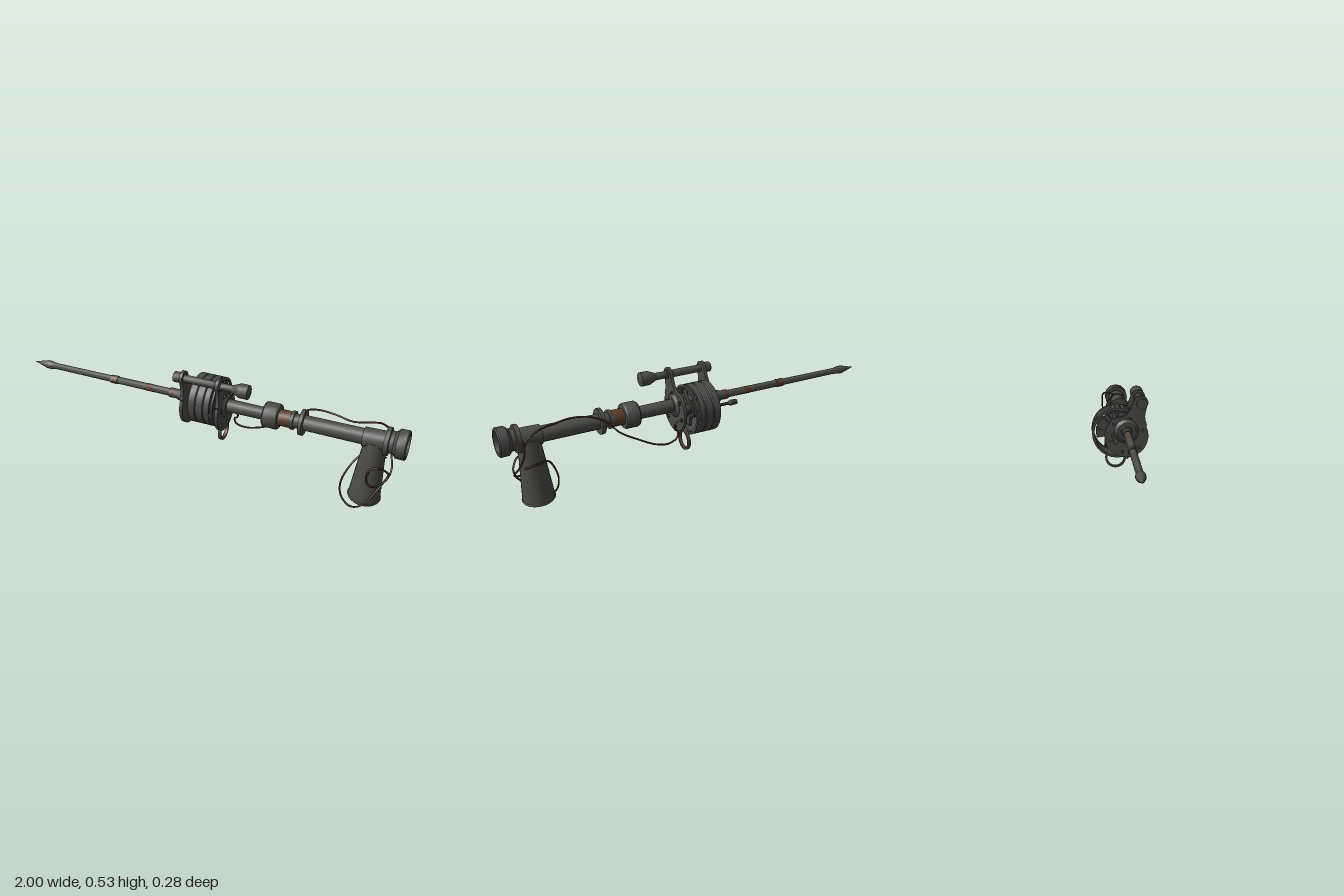
import * as THREE from 'three';
import { toCreasedNormals } from 'three/addons/utils/BufferGeometryUtils.js';

const AY = 0.36, AZ = 0.03;      // main axis
const DY = 0.344, DZ = -0.013;   // drum axis

export function createModel() {
  const model = new THREE.Group();
  model.name = 'harpoonLauncher';
  const mat = (name, color) => {
    const m = new THREE.MeshStandardMaterial({ color, side: THREE.DoubleSide });
    m.name = name;
    return m;
  };
  const steel = mat('gunmetal', 0x4b4c49);
  const dark = mat('darkSteel', 0x3a3b38);
  const rust = mat('rust', 0x5c3c26);
  const cordMat = mat('rustyCord', 0x47301f);

  const add = (name, geo, material = steel) => {
    const mesh = new THREE.Mesh(geo, material);
    mesh.name = name;
    model.add(mesh);
    return mesh;
  };
  // turned part along x: profile of [x, radius]
  const turned = (name, profile, y = AY, z = AZ, material = steel, sides = 16) => {
    const g = new THREE.LatheGeometry(profile.map(([x, r]) => new THREE.Vector2(r, x)), sides);
    g.rotateZ(-Math.PI / 2);
    g.translate(0, y, z);
    return add(name, toCreasedNormals(g, 0.6), material);
  };
  // flat plate drawn in (z, y), thickness from x0 to x1
  const plate = (name, shape, x0, x1, material = steel) => {
    const g = new THREE.ExtrudeGeometry(shape, { depth: x1 - x0, bevelEnabled: false, curveSegments: 16 });
    g.rotateY(-Math.PI / 2);
    g.translate(x1, 0, 0);
    return add(name, toCreasedNormals(g, 0.5), material);
  };
  const cord = (name, pts, r, material) => {
    const c = new THREE.CatmullRomCurve3(pts.map(p => new THREE.Vector3(...p)));
    return add(name, new THREE.TubeGeometry(c, pts.length * 7, r, 6), material);
  };

  // spear with pointed head
  turned('spear', [[-1, 0], [-0.92, 0.021], [-0.9, 0.022], [-0.86, 0.016], [-0.52, 0.017],
    [-0.52, 0.021], [-0.48, 0.021], [-0.48, 0.018], [-0.18, 0.019], [-0.18, 0.024],
    [-0.13, 0.024], [-0.13, 0.03], [-0.05, 0.03]], AY, AZ, steel, 12);
  turned('spearRustBand', [[-0.515, 0.0215], [-0.485, 0.0215]], AY, AZ, rust, 12);
  turned('spearRustPatch', [[-0.31, 0.0193], [-0.275, 0.0193]], AY, AZ, rust, 12);
  turned('spearGuideRustPatch', [[-0.175, 0.0245], [-0.155, 0.0245]], AY, AZ, rust, 12);

  // reel drum: hollow grooved wall
  turned('drumWall', [[-0.045, 0.113], [-0.045, 0.125], [-0.012, 0.125], [-0.008, 0.121], [-0.004, 0.125],
    [0.03, 0.125], [0.034, 0.121], [0.038, 0.125], [0.065, 0.125], [0.065, 0.113], [-0.045, 0.113]],
  DY, DZ, steel, 28);
  turned('drumRim', [[0.075, 0.113], [0.075, 0.125], [0.085, 0.125], [0.085, 0.113], [0.075, 0.113]],
    DY, DZ, steel, 28);
  turned('drumHub', [[-0.05, 0], [-0.05, 0.045], [0.06, 0.045], [0.06, 0.026], [0.11, 0.026]], DY, DZ, dark);

  // reel vanes: [angle in degrees, outer width]
  const vanes = [[102, 0.03], [80, 0.022], [57, 0.02], [30, 0.055], [-3, 0.04],
    [130, 0.03], [160, 0.03], [190, 0.03], [220, 0.03], [250, 0.03]];
  for (const [deg, w] of vanes) {
    const a = deg * Math.PI / 180, c = Math.cos(a), s = Math.sin(a);
    const at = (r, t) => new THREE.Vector2(DZ - r * c + t * s, DY + r * s + t * c);
    const shape = new THREE.Shape([at(0.035, -w / 3), at(0.103, -w / 2), at(0.103, w / 2), at(0.035, w / 3)]);
    plate('reelVane', shape, -0.035, -0.02);
    plate('reelVane', shape, 0.04, 0.055);
  }

  // teardrop side brackets carrying the sight tube
  const bracket = new THREE.Shape();
  bracket.moveTo(0.025, 0.436);
  bracket.quadraticCurveTo(0.05, 0.46, 0.066, 0.51);
  bracket.absarc(0.1, 0.497, 0.036, 2.8, 0, true);
  bracket.bezierCurveTo(0.115, 0.44, 0.118, 0.42, 0.13, 0.39);
  bracket.absarc(0.03, 0.335, 0.107, 0.45, -Math.PI - 0.9, true);
  bracket.closePath();
  plate('frontBracket', bracket, -0.078, -0.062);
  plate('rearBracket', bracket, 0.108, 0.124);
  turned('frontBearing', [[-0.1, 0], [-0.1, 0.045], [-0.085, 0.06], [-0.062, 0.06]]);
  turned('rearBearing', [[0.09, 0.06], [0.125, 0.06], [0.138, 0.045], [0.138, 0]]);
  for (let i = 0; i < 6; i++) {
    const a = i * Math.PI / 3 + 0.3;
    const y = 0.335 + 0.084 * Math.sin(a), z = AZ + 0.084 * Math.cos(a);
    for (const x of [-0.083, 0.12]) {
      turned('bracketBolt', [[x, 0], [x, 0.01], [x + 0.01, 0.01], [x + 0.01, 0]], y, z, dark, 6);
    }
  }

  // sight tube with cap and flared eyepiece
  turned('sightTube', [[-0.115, 0], [-0.115, 0.026], [-0.08, 0.026], [-0.08, 0.019], [0.1, 0.019],
    [0.1, 0.026], [0.13, 0.026], [0.13, 0.018], [0.185, 0.018], [0.2, 0.024], [0.225, 0.035],
    [0.268, 0.035], [0.272, 0.02], [0.278, 0]], 0.497, 0.103, steel, 12);

  // crank knob in front of the drum
  turned('crankKnob', [[-0.2, 0], [-0.2, 0.013], [-0.165, 0.015], [-0.15, 0.008], [-0.1, 0.008],
    [-0.1, 0.016], [-0.05, 0.016]], 0.335, -0.028, steel, 10);

  // hanging ring under the reel
  turned('hangingRing', [[0.084, 0.043], [0.084, 0.053], [0.1, 0.053], [0.1, 0.043], [0.084, 0.043]],
    0.187, -0.016, steel, 20);
  turned('hangingRingRust', [[0.086, 0.0425], [0.098, 0.0425]], 0.187, -0.016, rust, 20);

  // barrel with collars
  turned('barrel', [[0.12, 0.033], [0.325, 0.031], [0.325, 0.058], [0.332, 0.063], [0.392, 0.063],
    [0.4, 0.058], [0.4, 0.04], [0.46, 0.04], [0.46, 0.046], [0.475, 0.046], [0.475, 0.035],
    [0.505, 0.035], [0.505, 0.063], [0.523, 0.063], [0.523, 0.037], [0.8, 0.038],
    [0.8, 0.046], [0.9, 0.048]]);
  turned('barrelRustBand', [[0.405, 0.0405], [0.455, 0.0405]], AY, AZ, rust);

  // open breech cup
  turned('breechCup', [[0.9, 0.048], [0.9, 0.066], [0.92, 0.066], [0.922, 0.052], [0.94, 0.052],
    [0.955, 0.068], [0.995, 0.069], [1, 0.064], [1, 0.054], [0.965, 0.05], [0.965, 0.043],
    [0.93, 0.041], [0.93, 0.034], [0.89, 0.032], [0.89, 0]], 0.363, AZ, steel, 12);

  // flared grip with slanted base
  const grip = new THREE.CylinderGeometry(0.05, 0.082, 0.31, 20, 6);
  const p = grip.attributes.position;
  for (let i = 0; i < p.count; i++) {
    const t = (0.155 - p.getY(i)) / 0.31;
    const x = p.getX(i);
    p.setXYZ(i, 0.856 - 0.02 * t + x * (1 - 0.08 * t), 0.355 - t * (0.313 + x * 0.1), AZ + p.getZ(i));
  }
  add('grip', toCreasedNormals(grip, 0.7));
  add('gripRim', new THREE.TorusGeometry(0.08, 0.005, 6, 20).rotateX(Math.PI / 2)
    .scale(0.93, 1, 1.02).rotateZ(-0.1).translate(0.836, 0.046, AZ));

  // loose cord from the reel along the barrel
  cord('barrelCord', [[0.135, 0.3, -0.03], [0.155, 0.285, -0.035], [0.158, 0.265, -0.04], [0.14, 0.25, -0.04],
    [0.15, 0.22, -0.045], [0.2, 0.205, -0.055], [0.27, 0.22, -0.06], [0.36, 0.265, -0.055],
    [0.45, 0.32, -0.05], [0.51, 0.385, -0.045], [0.58, 0.415, -0.02], [0.66, 0.42, 0],
    [0.74, 0.408, 0.005], [0.81, 0.407, -0.02], [0.86, 0.4, -0.048], [0.9, 0.375, -0.058]], 0.0045, cordMat);
  // cord wound around the grip
  cord('gripCord', [[0.9, 0.375, -0.058], [0.905, 0.31, -0.056], [0.925, 0.25, -0.035], [0.94, 0.2, 0.01],
    [0.925, 0.165, 0.055], [0.88, 0.145, 0.095], [0.85, 0.175, 0.106], [0.86, 0.235, 0.095],
    [0.9, 0.245, 0.085], [0.935, 0.205, 0.05], [0.93, 0.175, 0.035], [0.9, 0.125, 0.085],
    [0.86, 0.06, 0.117], [0.81, 0.022, 0.112], [0.77, 0.009, 0.085], [0.735, 0.04, 0.07],
    [0.725, 0.1, 0.06], [0.75, 0.18, 0.04], [0.79, 0.235, 0], [0.85, 0.25, -0.04],
    [0.905, 0.235, -0.03]], 0.0045, cordMat);

  return model;
}
